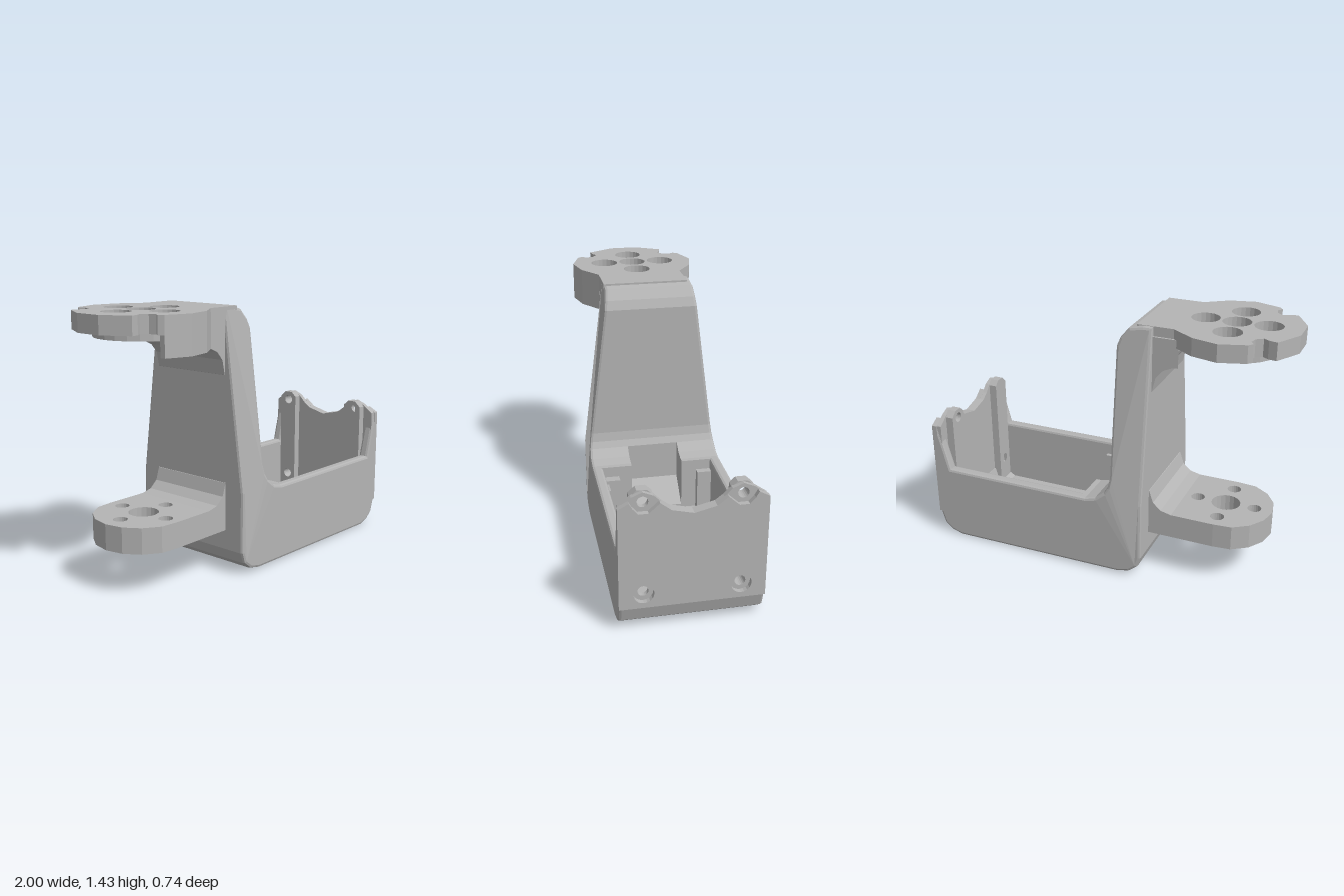
import * as THREE from 'three';

export function createModel() {
  const group = new THREE.Group();
  const grey = new THREE.MeshStandardMaterial({ color: 0xb4b4b4 });
  grey.name = 'greyPlastic';

  const add = (name, geo) => {
    const m = new THREE.Mesh(geo, grey);
    m.name = name;
    group.add(m);
    return m;
  };
  // holes are [x, y, radius]
  const shapeOf = (pts, holes = []) => {
    const s = new THREE.Shape(pts.map(p => new THREE.Vector2(p[0], p[1])));
    for (const [x, y, r] of holes) s.holes.push(new THREE.Path().absarc(x, y, r, 0, Math.PI * 2, true));
    return s;
  };
  const extrude = (pts, depth, holes, opts = {}) => new THREE.ExtrudeGeometry(
    shapeOf(pts, holes), { depth, bevelEnabled: false, curveSegments: 10, ...opts });
  const alongZ = (pts, z0, z1, opts) => extrude(pts, z1 - z0, [], opts).translate(0, 0, z0);
  const alongY = (pts, y0, y1, holes) => extrude(pts, y1 - y0, holes).rotateX(Math.PI / 2).translate(0, y1, 0);
  const alongX = (pts, x0, x1, holes) => extrude(pts, x1 - x0, holes).rotateY(Math.PI / 2).translate(x0, 0, 0);
  const bend = (geo, rule) => {
    const p = geo.attributes.position, v = new THREE.Vector3();
    for (let i = 0; i < p.count; i++) {
      rule(v.fromBufferAttribute(p, i));
      p.setXYZ(i, v.x, v.y, v.z);
    }
    geo.computeVertexNormals();
    return geo;
  };
  // the column narrows towards its top
  const taper = geo => bend(geo, v => {
    if (v.x < 0.3 && v.y > 0.46 && Math.abs(v.z) > 0.2) v.z -= Math.sign(v.z) * (v.y - 0.46) * 0.129;
  });
  const mirrored = half => [...half, ...half.filter(p => p[0] !== 0).reverse().map(p => [-p[0], p[1]])];

  // Shared silhouette pieces (x, y)
  const backCorner = [[-0.29, 1.43], [-0.29, 0.46], [-0.29, 0.13], [-0.27, 0.07], [-0.22, 0.03], [-0.15, 0.014]];
  const frontCorner = [[0.86, 0.002], [0.92, 0.02], [0.97, 0.06], [0.995, 0.14]];
  const fillet = [[0.04, 0.44], [-0.02, 0.455], [-0.07, 0.495], [-0.09, 0.53], [-0.1, 0.58]];
  const columnTop = [[-0.1, 1.31], [-0.12, 1.36], [-0.165, 1.415], [-0.24, 1.43]];

  // Rounded side plates: tray wall, column edge and end gusset
  const silhouette = [...backCorner, ...frontCorner, [1, 0.7], [0.97, 0.7], [0.9, 0.435], ...fillet, ...columnTop];
  for (const z of [0.325, -0.355]) {
    add('sidePlate', taper(alongZ(silhouette, z, z + 0.03, {
      bevelEnabled: true, bevelSize: 0.015, bevelOffset: -0.015, bevelThickness: 0.015, bevelSegments: 2,
    })));
  }

  // Column core, with a sloping notch in the middle
  const core = [...backCorner, [0.07, 0.01], [0.07, 0.44], ...fillet, ...columnTop];
  const notched = [...backCorner, [0.07, 0.01], [0.07, 0.16], [-0.07, 0.28], [-0.07, 0.495],
    ...fillet.slice(3), ...columnTop];
  add('columnSide', taper(alongZ(core, 0.145, 0.34)));
  add('columnSide', taper(alongZ(core, -0.34, -0.145)));
  add('columnMiddle', alongZ(notched, -0.145, 0.145));

  // Tray floor with its rounded front corner
  add('trayFloor', alongZ([[0, 0.012], ...frontCorner, [0.995, 0.16], [0.94, 0.16], [0.92, 0.09], [0.87, 0.06], [0, 0.06]],
    -0.34, 0.34));

  // End wall: thin inner sheet, outer sheet with scooped screw seats
  const lowHoles = r => [[0.245, 0.22, r], [-0.245, 0.22, r]];
  const highHoles = r => [[0.245, 0.718, r], [-0.245, 0.718, r]];
  const innerWall = mirrored([[0.365, 0.14], [0.365, 0.7], [0.3, 0.745], [0.245, 0.768], [0.19, 0.745], [0.15, 0.705],
    [0.11, 0.675], [0, 0.648]]);
  const outerWall = mirrored([[0.37, 0.14], [0.37, 0.7], [0.315, 0.73], [0.298, 0.7], [0.27, 0.668], [0.22, 0.668],
    [0.19, 0.695], [0.165, 0.718], [0.11, 0.675], [0, 0.648]]);
  add('endWallInner', alongX(innerWall, 0.945, 0.972, [...lowHoles(0.028), ...highHoles(0.028)]));
  add('endWallOuter', alongX(outerWall, 0.97, 1, lowHoles(0.052)));

  // Screw strips inside the end wall
  for (const s of [1, -1]) {
    const strip = [[0.19, 0.05], [0.305, 0.05], [0.305, 0.735], [0.27, 0.768], [0.22, 0.768], [0.19, 0.74]];
    add('screwStrip', alongX(strip.map(([z, y]) => [z * s, y]), 0.9, 0.95,
      [[0.245 * s, 0.22, 0.028], [0.245 * s, 0.718, 0.028]]));
  }

  // Ledges inside the tray
  const box = (name, x0, x1, y0, y1, z0, z1) => add(name, new THREE.BoxGeometry(x1 - x0, y1 - y0, z1 - z0)
    .translate((x0 + x1) / 2, (y0 + y1) / 2, (z0 + z1) / 2));
  box('trayLedge', 0.06, 0.11, 0.05, 0.14, -0.23, 0.23);
  box('trayCornerBlock', 0.06, 0.12, 0.05, 0.38, 0.22, 0.32);
  box('trayCornerBlock', 0.06, 0.11, 0.05, 0.38, -0.32, -0.23);
  box('trayCornerStep', 0.1, 0.2, 0.05, 0.36, 0.285, 0.32);

  // Upper horn plate, with wide screw seats above narrow holes
  const cx = -0.655, cz = 0.012;
  const cross = (d, r, rMid = r) => [[cx, cz, rMid], [cx + d, cz, r], [cx - d, cz, r], [cx, cz + d, r], [cx, cz - d, r]];
  const rim = [[-0.2, 0.235], [-0.4, 0.235], [-0.52, 0.318], [-0.66, 0.352], [-0.8, 0.308], [-0.82, 0.282],
    [-0.8, 0.255], [-0.81, 0.215], [-0.845, 0.19], [-0.875, 0.208], [-0.92, 0.218], [-1, 0.075]];
  const horn = [...rim.map(([x, z]) => [x, z + cz]), ...rim.slice().reverse().map(([x, z]) => [x, cz - z])];
  add('upperPlateTop', alongY(horn, 1.37, 1.432, cross(0.167, 0.076)));
  add('upperPlateBottom', alongY(horn, 1.337, 1.37, cross(0.167, 0.038)));
  const disc = Array.from({ length: 24 }, (_, i) =>
    [cx + 0.245 * Math.cos(i * Math.PI / 12), cz + 0.245 * Math.sin(i * Math.PI / 12)]);
  add('upperBoss', alongY(disc, 1.3, 1.34, cross(0.167, 0.038)));
  add('upperSkirt', alongY([[-0.8, 0.32], [-0.66, 0.364], [-0.52, 0.33], [-0.4, 0.247], [-0.4, 0.2], [-0.44, 0.235],
    [-0.52, 0.295], [-0.66, 0.327], [-0.8, 0.29]], 1.228, 1.35));

  // Curved bracket under the upper plate, hollowed round the horn
  const bracket = [[-0.26, 1.38], [-0.43, 1.38], [-0.43, 1.23], [-0.4, 1.228], [-0.35, 1.205], [-0.31, 1.16],
    [-0.292, 1.08], [-0.26, 1.06]];
  add('upperBracket', bend(alongZ(bracket, -0.235, 0.245, { steps: 14 }), v => {
    const dz = v.z - cz;
    v.x = Math.max(v.x, cx + Math.sqrt(0.33 * 0.33 - dz * dz));
  }));

  // Lower arm: rounded tongue, seats sunk from underneath
  const tongue = [[-0.25, 0.25], [-0.66, 0.25]];
  for (let i = 1; i < 8; i++) {
    const a = Math.PI / 2 + i * Math.PI / 8;
    tongue.push([-0.66 + 0.26 * Math.cos(a), 0.26 * Math.sin(a)]);
  }
  tongue.push([-0.66, -0.25], [-0.25, -0.25]);
  const armHoles = (r, mid) => cross(0.163, r, mid).map(([x, z, q]) => [x, z - cz, q]);
  add('lowerArmTop', alongY(tongue, 0.3, 0.376, armHoles(0.038, 0.08)));
  add('lowerArmBottom', alongY(tongue, 0.238, 0.3, armHoles(0.07, 0.08)));
  add('lowerFillet', alongZ([[-0.26, 0.36], [-0.42, 0.37], [-0.42, 0.376], [-0.36, 0.39], [-0.315, 0.43],
    [-0.292, 0.5], [-0.26, 0.52]], -0.25, 0.25));

  return group;
}
